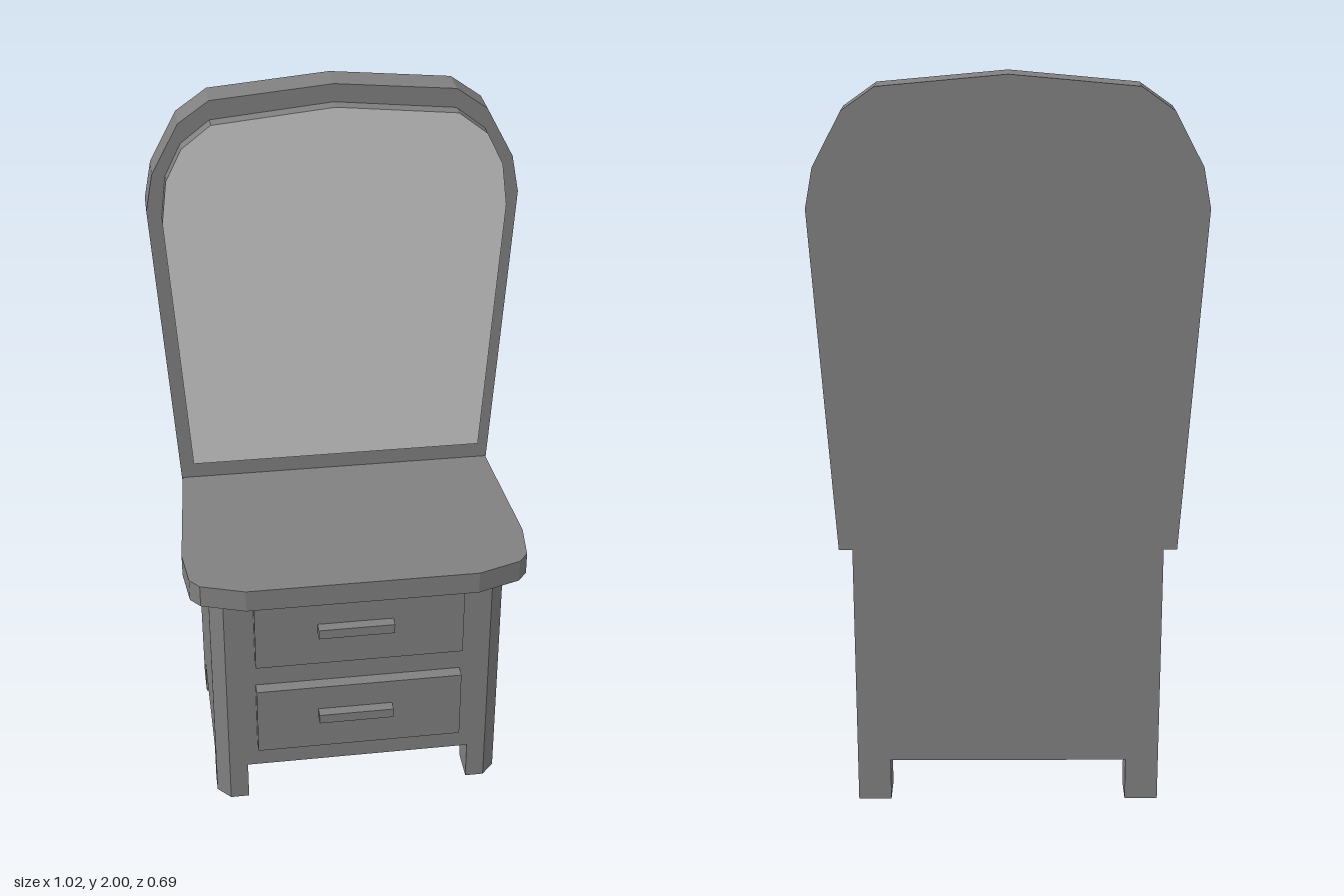
import * as THREE from 'three';

export function createModel() {
  const model = new THREE.Group();
  model.name = 'dressingTable';
  const wood = new THREE.MeshStandardMaterial({ color: 0x808080, flatShading: true });
  const glass = new THREE.MeshStandardMaterial({ color: 0xcccccc, flatShading: true });

  const add = (name, geometry, material = wood) => {
    const mesh = new THREE.Mesh(geometry, material);
    mesh.name = name;
    model.add(mesh);
    return mesh;
  };

  // Closed shape from its right half, mirrored across x = 0
  const mirrored = (half) => {
    const left = half.filter(([x]) => x > 0).map(([x, y]) => [-x, y]).reverse();
    return [...half, ...left];
  };
  const extrude = (points, depth) => new THREE.ExtrudeGeometry(
    new THREE.Shape(points.map(([x, y]) => new THREE.Vector2(x, y))),
    { depth, bevelEnabled: false });

  // Upright board: outline in x, y
  const upright = (points, z0, z1) => extrude(points, z1 - z0).translate(0, 0, z0);
  // Flat slab: outline in x, z
  const slab = (points, y0, y1) =>
    extrude(points.map(([x, z]) => [x, -z]), y1 - y0).rotateX(-Math.PI / 2).translate(0, y0, 0);
  const box = (x0, x1, y0, y1, z0, z1) =>
    new THREE.BoxGeometry(x1 - x0, y1 - y0, z1 - z0)
      .translate((x0 + x1) / 2, (y0 + y1) / 2, (z0 + z1) / 2);

  // Arched back board
  add('backBoard', upright(mirrored([
    [0.451, 0.745], [0.51, 1.665], [0.49, 1.77], [0.415, 1.91], [0.33, 1.97], [0, 2],
  ]), -0.345, -0.25));

  // Mirror plate: light face, dark rim
  add('mirror', upright(mirrored([
    [0.42, 0.88], [0.47, 1.645], [0.455, 1.765], [0.41, 1.855], [0.33, 1.917], [0, 1.95],
  ]), -0.25, -0.21), [glass, wood]);

  // Table top with clipped front corners
  add('tableTop', slab(mirrored([
    [0.32, 0.34], [0.44, 0.3], [0.467, 0.267], [0.48, 0.15], [0.453, -0.25],
  ]), 0.745, 0.81));

  // Cabinet with chamfered front corners
  add('cabinet', slab(mirrored([
    [0.378, 0.25], [0.415, 0.21], [0.415, -0.345],
  ]), 0.12, 0.745));

  // Feet continue the cabinet corners
  for (const side of [-1, 1]) {
    const foot = [[0.325, 0.25], [0.378, 0.25], [0.415, 0.21], [0.415, 0.155], [0.325, 0.155]];
    const name = side > 0 ? 'Left' : 'Right';
    add('frontFoot' + name, slab(foot.map(([x, z]) => [x * side, z]), 0, 0.12));
    add('backFoot' + name, box(-0.045, 0.045, 0, 0.12, -0.345, -0.25).translate(side * 0.37, 0, 0));
  }

  // Drawers and their slightly off-centre handles
  for (const [name, y] of [['lower', 0.2], ['upper', 0.502]]) {
    add(name + 'Drawer', box(-0.295, 0.293, y, y + 0.215, 0.25, 0.285));
    add(name + 'Handle', box(-0.12, 0.093, y + 0.108, y + 0.137, 0.285, 0.315));
  }

  return model;
}
